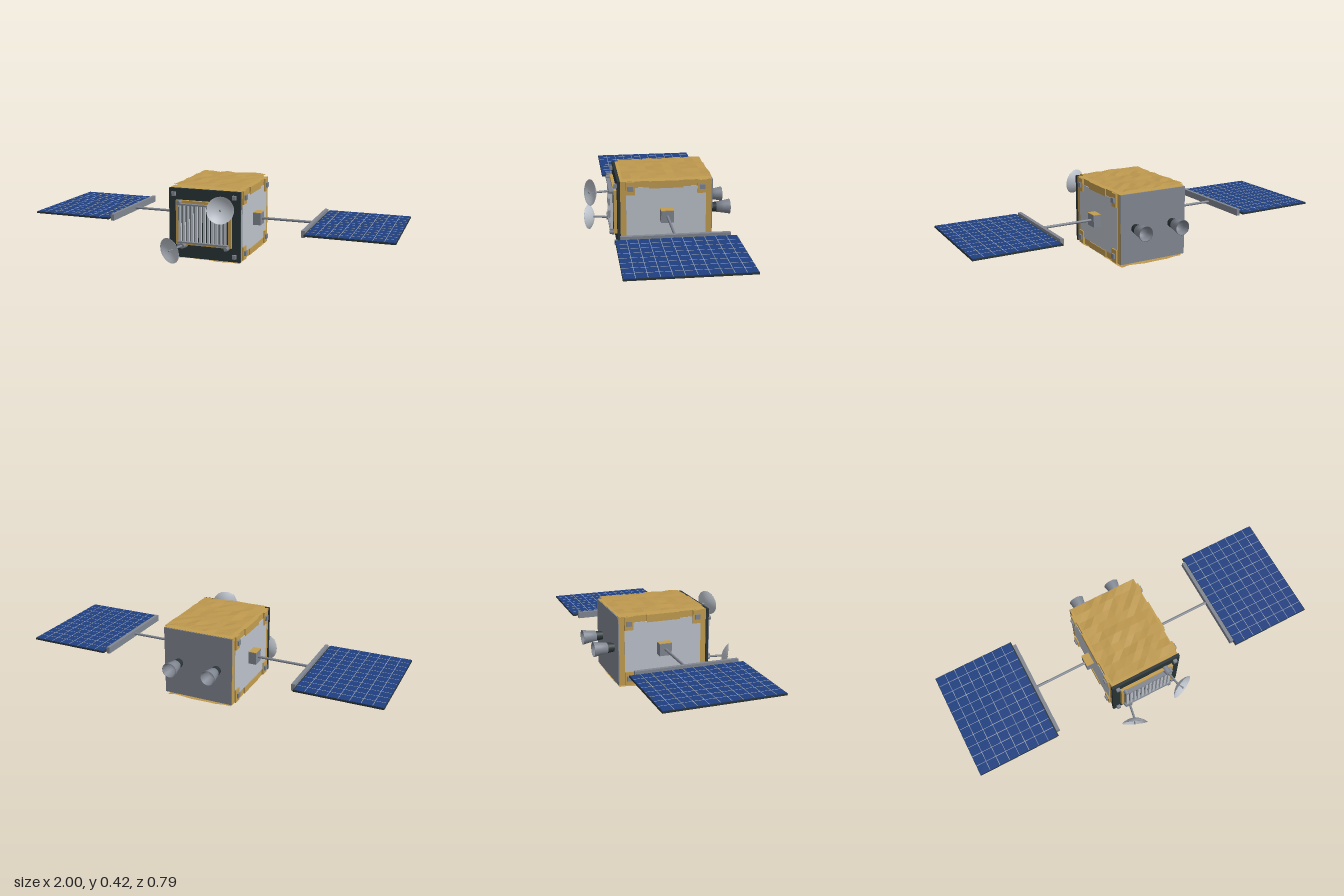
import * as THREE from 'three';

const mat = (name, color) => {
  const m = new THREE.MeshStandardMaterial({ color });
  m.name = name;
  return m;
};

export function createModel() {
  const model = new THREE.Group();
  model.name = 'satellite';

  const gold = mat('gold foil', 0xc29d50);
  const grey = mat('mid grey metal', 0x808691);
  const silver = mat('silver panel', 0xbcc2cb);
  const dark = mat('dark composite', 0x2a3436);
  const blue = mat('solar cell blue', 0x1f3f80);
  const wire = mat('cell grid line', 0x9aa3b0);
  const foil = mat('crinkled foil', 0xbd984e);
  foil.side = THREE.DoubleSide;

  const add = (name, geo, material, x = 0, y = 0, z = 0, parent = model) => {
    const mesh = new THREE.Mesh(geo, material);
    mesh.name = name;
    mesh.position.set(x, y, z);
    parent.add(mesh);
    return mesh;
  };
  // Box given by its extents on each axis
  const box = (name, material, [x0, x1], [y0, y1], [z0, z1], parent) =>
    add(name, new THREE.BoxGeometry(x1 - x0, y1 - y0, z1 - z0), material,
      (x0 + x1) / 2, (y0 + y1) / 2, (z0 + z1) / 2, parent);
  // Round bar between two points, r0 at the start and r1 at the end
  const UP = new THREE.Vector3(0, 1, 0);
  const rod = (name, material, a, b, r0, r1 = r0, parent = model) => {
    const d = b.clone().sub(a);
    const mesh = add(name, new THREE.CylinderGeometry(r1, r0, d.length(), 20), material, 0, 0, 0, parent);
    mesh.position.copy(a).addScaledVector(d, 0.5);
    mesh.quaternion.setFromUnitVectors(UP, d.normalize());
    return mesh;
  };
  const V = (x, y, z) => new THREE.Vector3(x, y, z);
  const lathe = (pts) => new THREE.LatheGeometry(pts.map(([x, y]) => new THREE.Vector2(x, y)), 32);

  // Main body with a grey rear plate and a dark front plate
  box('body', gold, [-0.195, 0.195], [0.025, 0.4], [-0.275, 0.212]);
  box('rearPlate', grey, [-0.195, 0.195], [0.026, 0.399], [-0.28, -0.274]);
  box('frontPlate', dark, [-0.2, 0.2], [0.025, 0.401], [0.211, 0.226]);

  // Loose crinkled blankets above and below
  const hash = (i) => {
    const s = Math.sin(i * 127.1 + 11.7) * 43758.5453;
    return s - Math.floor(s) - 0.5;
  };
  const blanket = (name, y, seed) => {
    const geo = new THREE.PlaneGeometry(0.375, 0.47, 8, 10).rotateX(-Math.PI / 2);
    const p = geo.attributes.position;
    for (let i = 0; i < p.count; i++) {
      p.setY(i, 0.009 * hash(i + seed));
      p.setX(i, p.getX(i) + 0.006 * hash(i * 3 + seed));
    }
    const flat = geo.toNonIndexed();
    flat.computeVertexNormals();
    add(name, flat, foil, 0, y, -0.038);
  };
  blanket('topBlanket', 0.414, 1);
  blanket('bottomBlanket', 0.012, 200);

  // Round antenna under the body
  add('bellyDisc', new THREE.CylinderGeometry(0.045, 0.045, 0.012, 32), dark, 0, 0.02, -0.07);
  add('bellyCap', new THREE.CylinderGeometry(0.018, 0.018, 0.015, 24), gold, 0, 0.0075, -0.07);

  for (const s of [1, -1]) {
    const side = new THREE.Group();
    side.name = s > 0 ? 'leftSide' : 'rightSide';
    model.add(side);
    const sx = (a, b) => (s > 0 ? [a, b] : [-b, -a]);

    // Radiator panel with gold edge tabs and corner brackets
    box('radiatorPanel', silver, sx(0.19, 0.198), [0.06, 0.365], [-0.245, 0.18], side);
    for (const [y0, y1] of [[0.36, 0.4], [0.025, 0.06]])
      box('edgeTab', gold, sx(0.193, 0.202), [y0, y1], [-0.123, 0.06], side);
    for (const cz of [0.1575, -0.2225]) for (const top of [true, false]) {
      box('cornerBracket', gold, sx(0.193, 0.205), top ? [0.327, 0.399] : [0.026, 0.098],
        [cz - 0.0235, cz + 0.0235], side);
      const y = top ? 0.363 : 0.062;
      box('sideThruster', grey, sx(0.2, 0.214), [y - 0.013, y + 0.013], [cz - 0.014, cz + 0.014], side);
    }

    // Wing drive, boom and yoke
    box('wingDrive', grey, sx(0.19, 0.24), [0.179, 0.245], [-0.067, 0], side);
    box('wingDriveCover', gold, sx(0.19, 0.241), [0.245, 0.248], [-0.068, 0.001], side);
    rod('boom', grey, V(s * 0.235, 0.213, -0.034), V(s * 0.535, 0.213, -0.034), 0.007, 0.007, side);
    box('yoke', grey, sx(0.527, 0.546), [0.195, 0.231], [-0.305, 0.239], side);

    // Solar wing: dark backing, blue face and cell grid
    box('wingBacking', dark, sx(0.546, 1), [0.207, 0.216], [-0.335, 0.265], side);
    box('solarCells', blue, sx(0.552, 0.998), [0.2155, 0.218], [-0.333, 0.263], side);
    for (let i = 1; i < 8; i++) {
      const x = 1 - i * 0.0563;
      box('cellLine', wire, sx(x - 0.0014, x + 0.0014), [0.2175, 0.2187], [-0.333, 0.263], side);
    }
    for (let i = 1; i < 11; i++) {
      const z = -0.335 + i * 0.0545;
      box('cellLine', wire, sx(0.552, 0.998), [0.2175, 0.2187], [z - 0.0014, z + 0.0014], side);
    }

    // Rear engine: dark throat and hollow bell
    rod('engineThroat', dark, V(s * 0.11, 0.213, -0.278), V(s * 0.11, 0.213, -0.325), 0.023, 0.029, side);
    const bell = add('engineBell', lathe([[0, 0], [0.028, 0], [0.034, 0.04], [0.041, 0.075],
      [0.038, 0.075], [0.031, 0.04], [0.024, 0.012], [0, 0.012]]), grey, s * 0.11, 0.213, -0.316, side);
    bell.rotation.x = -Math.PI / 2;

    // Small blocks on the front corners
    for (const y of [0.371, 0.055])
      box('frontBlock', grey, sx(0.16, 0.18), [y - 0.011, y + 0.011], [0.225, 0.242], side);
  }

  // Louvred radiator on the front
  box('louvreBase', gold, [-0.155, 0.155], [0.1, 0.34], [0.225, 0.243]);
  box('louvreBacking', dark, [-0.14, 0.14], [0.117, 0.325], [0.242, 0.246]);
  for (let i = 0; i < 12; i++) {
    const x = -0.1265 + i * 0.023;
    box('louvreSlat', silver, [x - 0.0065, x + 0.0065], [0.12, 0.322], [0.245, 0.26]);
  }
  for (const y of [0.117, 0.322])
    box('louvreRail', grey, [-0.142, 0.142], [y - 0.004, y + 0.004], [0.242, 0.265]);
  for (const x of [-0.132, 0.132]) for (const y of [0.1, 0.33])
    rod('louvreFoot', grey, V(x, y, 0.24), V(x, y, 0.265), 0.014, 0.01);

  // Two dish antennas, upper left and lower right
  const R = 0.07, H = 0.027, outer = [], inner = [];
  for (let i = 0; i <= 8; i++) {
    const t = i / 8;
    outer.push([R * t, H * t * t]);
    inner.unshift([R * t, H * t * t + 0.003 * (1 - t * 0.6)]);
  }
  const dishShape = lathe([...outer, ...inner]);
  for (const s of [1, -1]) {
    const dish = new THREE.Group();
    dish.name = s > 0 ? 'upperDish' : 'lowerDish';
    model.add(dish);
    const n = V(s * 0.39, s * 0.13, 0.91).normalize();
    const vertex = V(s * 0.14, 0.213 + s * 0.118, 0.365).addScaledVector(n, -H);
    const y = 0.213 + s * 0.115;
    rod('dishMount', grey, V(s * 0.113, y, 0.225), V(s * 0.115, y, 0.266), 0.02, 0.015, dish);
    rod('dishStrut', grey, V(s * 0.115, y, 0.26), vertex, 0.006, 0.006, dish);
    const bowl = add('dishBowl', dishShape, silver, 0, 0, 0, dish);
    bowl.position.copy(vertex);
    bowl.quaternion.setFromUnitVectors(UP, n);
    const tip = vertex.clone().addScaledVector(n, 0.032);
    rod('dishFeed', grey, vertex, tip, 0.003, 0.003, dish);
    add('dishFeedTip', new THREE.SphereGeometry(0.0055, 16, 10), grey, tip.x, tip.y, tip.z, dish);
  }

  return model;
}
